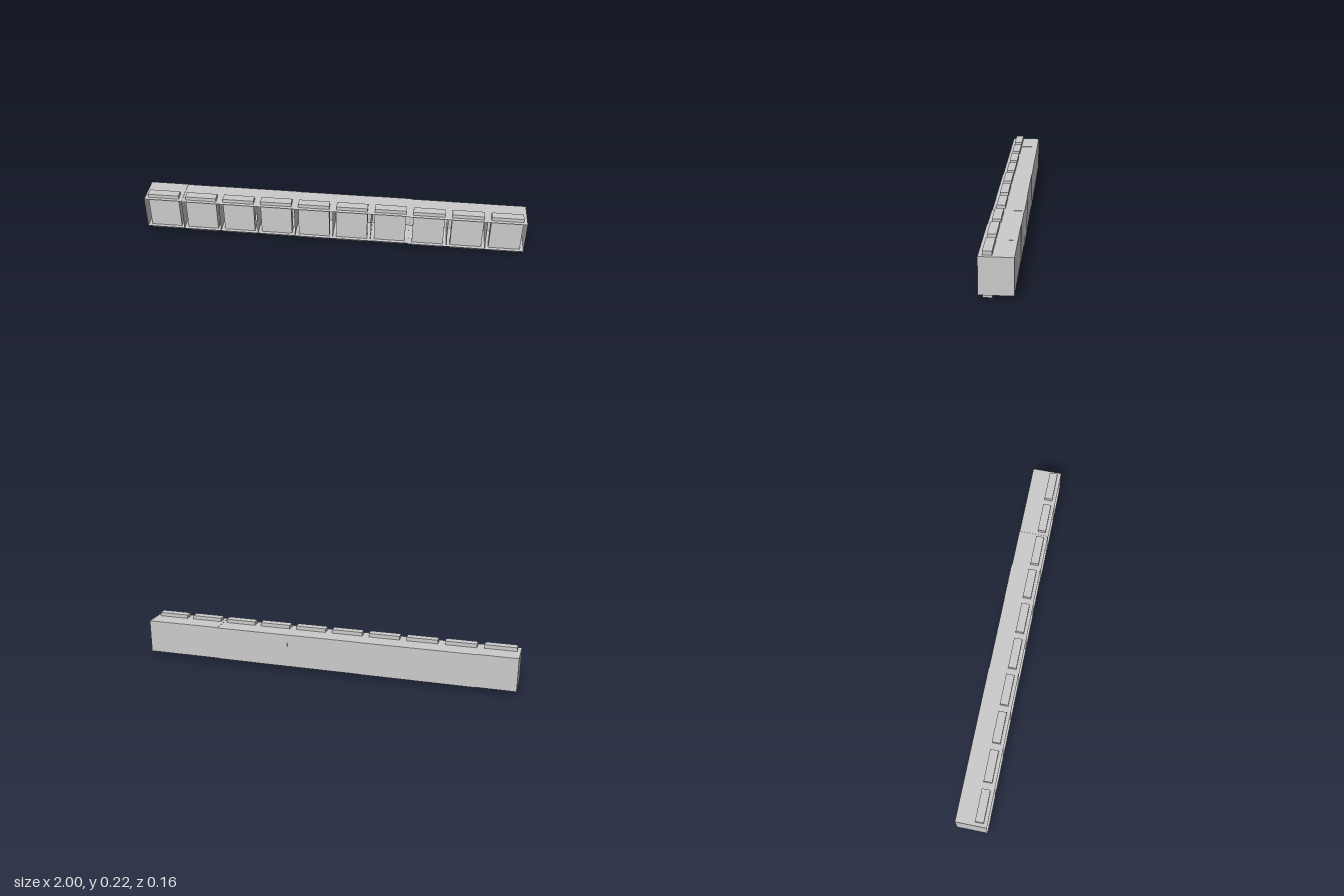
import * as THREE from 'three';

const grey = new THREE.MeshStandardMaterial({ color: 0xcccccc, flatShading: true, side: THREE.DoubleSide });

// Thin-walled box with its front (+z) side left open
function openBox(w, h, d) {
  const geo = new THREE.BoxGeometry(w, h, d);
  const index = Array.from(geo.index.array);
  index.splice(24, 6);
  geo.setIndex(index);
  geo.clearGroups();
  return geo;
}

function addMesh(parent, name, geo, y, z) {
  const mesh = new THREE.Mesh(geo, grey);
  mesh.name = name;
  mesh.position.set(0, y, z);
  parent.add(mesh);
}

export function createModel() {
  const model = new THREE.Group();
  model.name = 'blockRow';

  const shellGeo = openBox(0.2, 0.177, 0.158);
  const panelGeo = new THREE.BoxGeometry(0.163, 0.216, 0.043);

  // Small misalignments of each block, in y and z
  const dy = [0.002, 0, 0, 0, 0, 0, 0, -0.001, 0, -0.0005];
  const dz = [-0.003, -0.003, -0.003, -0.003, -0.001, -0.001, -0.002, 0.001, 0.003, 0.003];

  for (let i = 0; i < 10; i++) {
    const block = new THREE.Group();
    block.name = `block${i + 1}`;
    block.position.set(-0.9 + i * 0.2, dy[i], dz[i]);
    // Open housing, and the upright panel that pokes out above and below it
    addMesh(block, 'housing', shellGeo, 0.109, 0);
    addMesh(block, 'panel', panelGeo, 0.109, 0.039);
    model.add(block);
  }
  return model;
}
